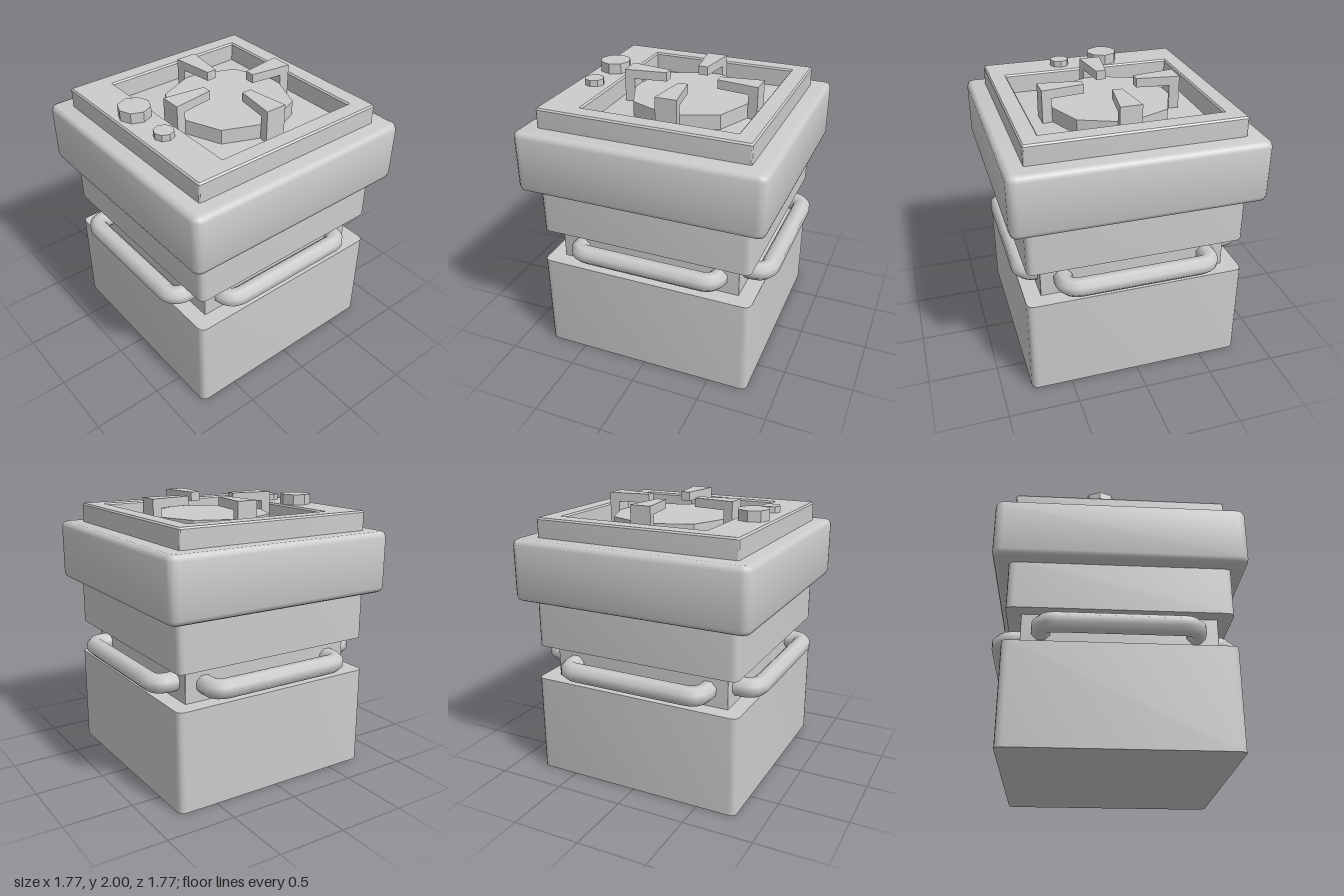
import * as THREE from 'three';
import { toCreasedNormals } from 'three/addons/utils/BufferGeometryUtils.js';

const grey = new THREE.MeshStandardMaterial({ color: 0xcccccc });
const flatGrey = new THREE.MeshStandardMaterial({ color: 0xcccccc, flatShading: true });

function addMesh(parent, name, geometry, material = grey) {
  const mesh = new THREE.Mesh(geometry, material);
  mesh.name = name;
  parent.add(mesh);
  return mesh;
}

// Square outline with rounded corners
function roundedSquare(h, r) {
  const s = new THREE.Shape();
  s.moveTo(-h + r, -h);
  s.lineTo(h - r, -h);
  s.quadraticCurveTo(h, -h, h, -h + r);
  s.lineTo(h, h - r);
  s.quadraticCurveTo(h, h, h - r, h);
  s.lineTo(-h + r, h);
  s.quadraticCurveTo(-h, h, -h, h - r);
  s.lineTo(-h, -h + r);
  s.quadraticCurveTo(-h, -h, -h + r, -h);
  return s;
}

// Upright block between two heights, with an optional bevelled rim and hole
function block(half, y0, y1, r, { size = 0, thick = 0, segments = 1, hole, crease = 0.9 } = {}) {
  const shape = roundedSquare(half - size, r);
  if (hole) shape.holes.push(hole);
  const geometry = new THREE.ExtrudeGeometry(shape, {
    depth: y1 - y0 - 2 * thick, curveSegments: 3,
    bevelEnabled: size > 0, bevelSize: size, bevelThickness: thick, bevelSegments: segments,
  });
  geometry.rotateX(-Math.PI / 2).translate(0, y0 + thick, 0);
  return toCreasedNormals(geometry, crease);
}

// Octagonal bar with two rounded corners, standing off the +z face
function handleGeometry(out) {
  const w = 0.525, z0 = 0.64, z1 = out - 0.064, c = 0.1;
  const v = (x, z) => new THREE.Vector3(x, 0, z);
  const path = new THREE.CurvePath();
  path.add(new THREE.LineCurve3(v(-w, z0), v(-w, z1 - c)));
  path.add(new THREE.QuadraticBezierCurve3(v(-w, z1 - c), v(-w, z1), v(-w + c, z1)));
  path.add(new THREE.LineCurve3(v(-w + c, z1), v(w - c, z1)));
  path.add(new THREE.QuadraticBezierCurve3(v(w - c, z1), v(w, z1), v(w, z1 - c)));
  path.add(new THREE.LineCurve3(v(w, z1 - c), v(w, z0)));
  const section = new THREE.Shape();
  for (let i = 0; i < 8; i++) {
    const a = (i + 0.5) * Math.PI / 4;
    section[i ? 'lineTo' : 'moveTo'](0.068 * Math.cos(a), 0.068 * Math.sin(a));
  }
  section.closePath();
  const geometry = new THREE.ExtrudeGeometry(section, { steps: 48, extrudePath: path, bevelEnabled: false });
  return toCreasedNormals(geometry, 0.9);
}

// L-shaped pan support along +x, narrowing towards the burner centre
function armGeometry(floorY) {
  const inner = 0.19, outer = 0.495;
  const profile = new THREE.Shape([
    [inner, 2], [inner, 1.935], [0.425, 1.935], [0.425, floorY], [outer, floorY], [outer, 2],
  ].map(([x, y]) => new THREE.Vector2(x, y)));
  const geometry = new THREE.ExtrudeGeometry(profile, { depth: 1, bevelEnabled: false });
  geometry.translate(0, 0, -0.5);
  const p = geometry.attributes.position;
  for (let i = 0; i < p.count; i++) {
    const t = (p.getX(i) - inner) / (outer - inner);
    p.setZ(i, p.getZ(i) * (0.07 + 0.085 * t));
  }
  geometry.computeVertexNormals();
  return geometry;
}

export function createModel() {
  const model = new THREE.Group();
  model.name = 'stoveBlock';

  // Stacked body
  addMesh(model, 'lowerBody', block(0.788, 0, 0.725, 0.05));
  addMesh(model, 'core', block(0.673, 0.72, 0.98, 0.004));
  addMesh(model, 'upperBody', block(0.775, 0.975, 1.34, 0.05));
  addMesh(model, 'cap', block(0.883, 1.325, 1.765, 0.03, { size: 0.035, thick: 0.04, segments: 2, crease: 1.0 }));

  // Top plate framing the burner recess
  const hole = new THREE.Path([
    [-0.635, -0.485], [-0.635, 0.63], [0.635, 0.63], [0.635, -0.485],
  ].map(([x, y]) => new THREE.Vector2(x, y)));
  const plate = addMesh(model, 'topPlate',
    block(0.752, 1.75, 1.905, 0.008, { size: 0.01, thick: 0.012, hole, crease: 0.5 }));
  plate.position.z = 0.007;

  // Burner disc with four pan supports
  const burner = new THREE.Group();
  burner.name = 'burner';
  burner.position.z = -0.07;
  model.add(burner);
  const disc = addMesh(burner, 'burnerDisc', new THREE.CylinderGeometry(0.45, 0.45, 0.11, 8), flatGrey);
  disc.position.y = 1.815;
  const arm = armGeometry(1.76);
  for (let i = 0; i < 4; i++) {
    addMesh(burner, 'panSupport', arm, flatGrey).rotation.y = i * Math.PI / 2;
  }

  // Control knobs: x, radius, top height
  for (const [x, r, top] of [[-0.147, 0.114, 1.98], [0.19, 0.07, 1.95]]) {
    const knob = addMesh(model, 'knob', new THREE.CylinderGeometry(r, r, top - 1.9, 8), flatGrey);
    knob.position.set(x, (top + 1.9) / 2, 0.612);
  }

  // Handles around the core: front, left, back, right
  [[0.882, 0.848], [0.83, 0.84], [0.882, 0.848], [0.882, 0.84]].forEach(([out, y], i) => {
    const handle = addMesh(model, 'handle', handleGeometry(out));
    handle.position.set(i % 2 ? 0 : -0.01, y, 0);
    handle.rotation.y = i * Math.PI / 2;
  });

  return model;
}
